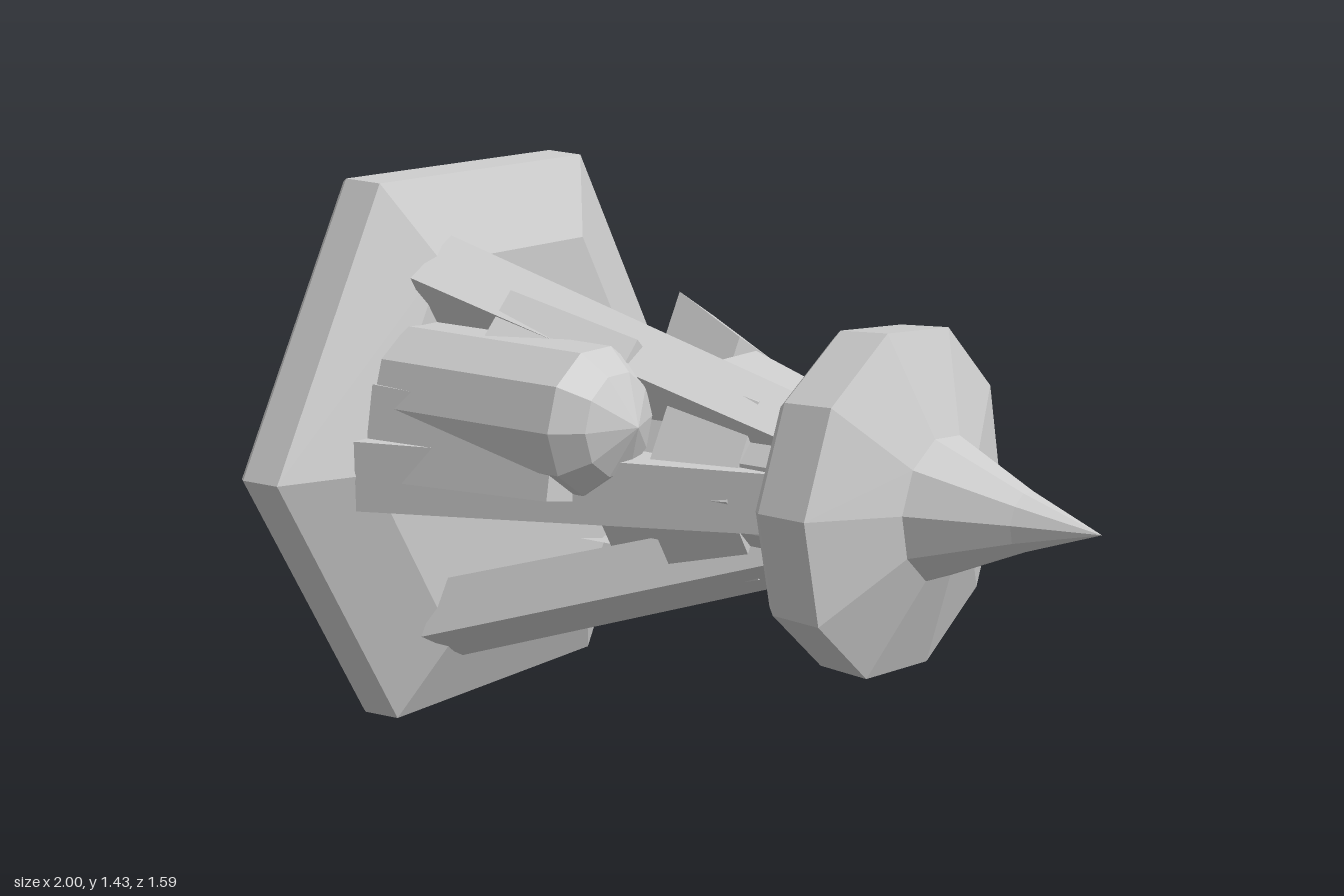
import * as THREE from 'three';

export function createModel() {
  const model = new THREE.Group();
  const grey = new THREE.MeshStandardMaterial({ color: 0xcccccc, flatShading: true, side: THREE.DoubleSide });
  grey.name = 'plain grey';
  const axis = new THREE.Group(); // the long axis runs along x at this height
  axis.name = 'body';
  axis.position.y = 0.713;
  model.add(axis);

  function add(name, geometry) {
    const mesh = new THREE.Mesh(geometry, grey);
    mesh.name = name;
    axis.add(mesh);
    return mesh;
  }
  // profile of [x, radius] turned about the x axis
  function turned(name, profile, sides, phase = 0, sweep = Math.PI * 2) {
    const points = profile.map(([x, r]) => new THREE.Vector2(r, x));
    return add(name, new THREE.LatheGeometry(points, sides, phase, sweep).rotateZ(-Math.PI / 2));
  }
  // bar along x; each end is [x, width, inner radius, outer radius],
  // angle in degrees is measured from the front (+z) towards the top (+y)
  function bar(name, start, end, angle) {
    const geometry = new THREE.BoxGeometry(1, 1, 1);
    const p = geometry.attributes.position;
    for (let i = 0; i < p.count; i++) {
      const [x, width, inner, outer] = p.getX(i) > 0 ? end : start;
      p.setXYZ(i, x, p.getY(i) * width, p.getZ(i) > 0 ? outer : inner);
    }
    geometry.computeVertexNormals();
    add(name, geometry).rotation.x = -THREE.MathUtils.degToRad(angle);
  }

  // hexagonal foot with a sloping inner face
  const foot = turned('foot', [[-1, 0], [-1, 0.785], [-0.985, 0.795], [-0.87, 0.79], [-0.77, 0.56], [-0.76, 0]], 6);
  foot.scale.y = 1.038;

  // central shaft, collar flush with the struts, and neck
  turned('shaft', [[-0.78, 0.19], [-0.55, 0.19], [-0.33, 0.17]], 8, Math.PI / 8);
  turned('collar', [[-0.33, 0], [-0.33, 0.27], [-0.1, 0.27], [-0.1, 0.325], [0.12, 0.26], [0.12, 0]], 6);
  turned('neck', [[0.1, 0.225], [0.33, 0.225]], 8, Math.PI / 8);

  // wide disc and pointed tip
  turned('disc', [[0.31, 0], [0.31, 0.405], [0.335, 0.43], [0.47, 0.438], [0.57, 0.18], [0.57, 0]], 10, -0.09);
  turned('tip', [[0.56, 0.183], [0.57, 0.18], [0.8, 0.075], [1, 0]], 10, -0.09);

  // four tapering struts leaning in from the foot to the neck
  for (const angle of [0, 60, 180, 300]) {
    bar('strut', [-0.79, 0.18, 0.44, 0.6], [0.23, 0.15, 0.08, 0.215], angle);
  }

  // large pod at the upper front with a rounded end
  const nose = [[-0.22, 0.187], [-0.15, 0.13], [-0.09, 0]];
  const frontPod = turned('frontPod', [[-0.79, 0.193], ...nose], 10);
  frontPod.position.set(0, 0.17, 0.335);

  // matching pod at the lower back, open on its inner side
  const backPod = turned('backPod', [[-0.33, 0], [-0.33, 0.187], ...nose], 10);
  backPod.position.set(0, -0.17, -0.335);
  const shell = turned('backPodShell', [[-0.79, 0.19], [-0.33, 0.187]], 6, Math.PI * 0.35, Math.PI);
  shell.position.copy(backPod.position);

  // webs joining each pod to its side strut, and the front pod to the upper strut
  for (const angle of [11, 191]) {
    bar('podWeb', [-0.79, 0.24, 0.45, 0.56], [-0.25, 0.2, 0.36, 0.485], angle);
  }
  bar('upperWeb', [-0.55, 0.26, 0.36, 0.51], [-0.2, 0.22, 0.27, 0.39], 45);

  // blocks bracing the shaft at the back
  for (const angle of [120, 240]) {
    bar('brace', [-0.33, 0.17, 0.2, 0.43], [-0.1, 0.17, 0.2, 0.33], angle);
  }
  return model;
}
